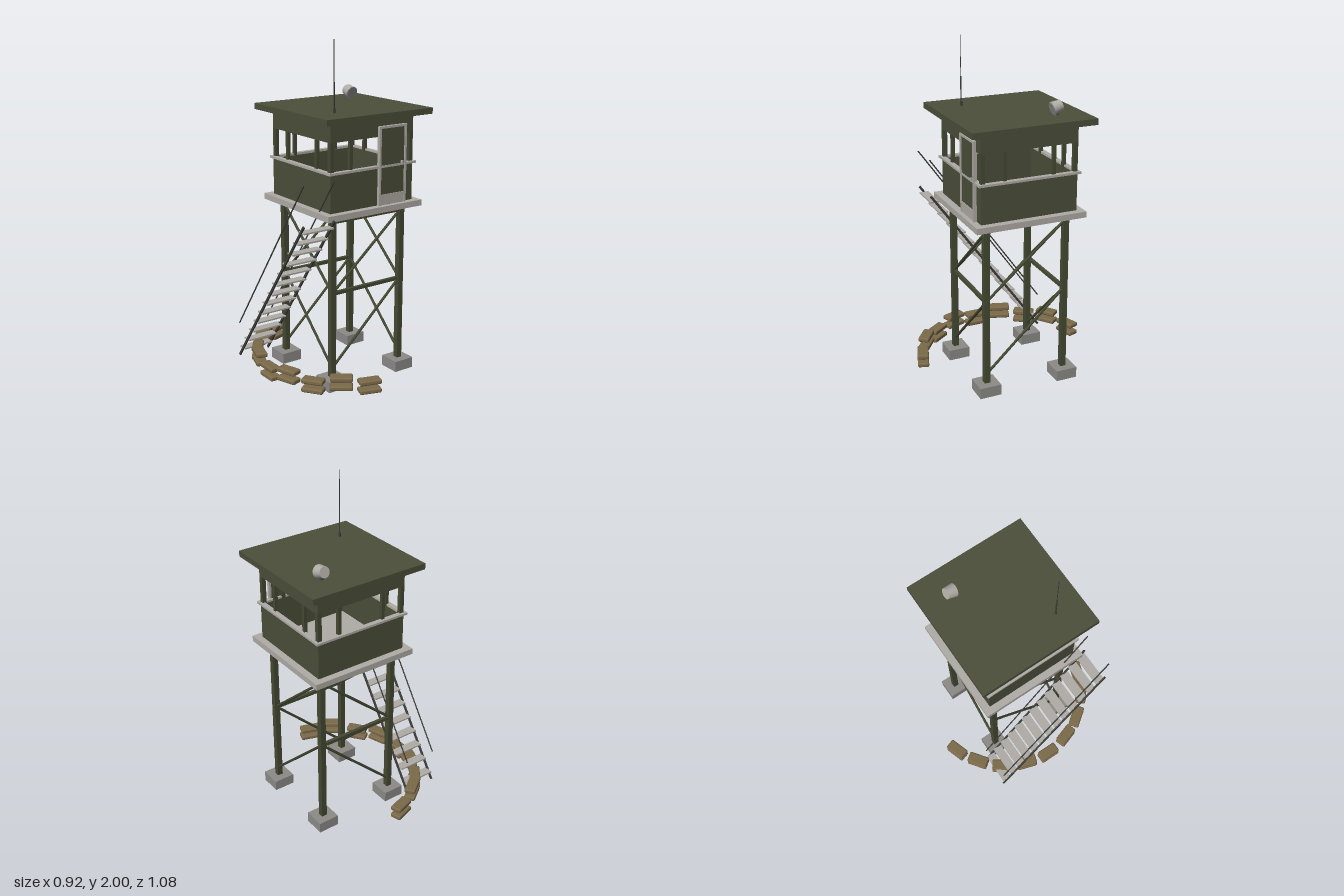
import * as THREE from 'three';
import { RoundedBoxGeometry } from 'three/addons/geometries/RoundedBoxGeometry.js';

const mat = (name, color) => {
  const m = new THREE.MeshStandardMaterial({ color });
  m.name = name;
  return m;
};

export function createModel() {
  const olive = mat('olive paint', 0x4b4f3a);
  const oliveDark = mat('olive steel', 0x454a33);
  const lightMetal = mat('light metal', 0xb0aca6);
  const darkMetal = mat('dark metal', 0x3e3f3a);
  const concrete = mat('concrete', 0x8c8b88);
  const burlap = mat('burlap', 0x7c6a4a);
  const lensGrey = mat('lens grey', 0x8f9190);

  const model = new THREE.Group();
  model.name = 'watchtower';
  const tower = new THREE.Group();
  tower.name = 'tower';
  tower.position.set(0.092, 0, -0.003);
  model.add(tower);

  const add = (name, geo, m, x = 0, y = 0, z = 0, parent = tower) => {
    const mesh = new THREE.Mesh(geo, m);
    mesh.name = name;
    mesh.position.set(x, y, z);
    parent.add(mesh);
    return mesh;
  };
  const box = (name, m, w, h, d, x, y, z, parent) =>
    add(name, new THREE.BoxGeometry(w, h, d), m, x, y, z, parent);
  // Round bar between two points
  const rod = (name, m, a, b, r) => {
    const p = new THREE.Vector3(...a), q = new THREE.Vector3(...b);
    const dir = q.clone().sub(p);
    const mesh = add(name, new THREE.CylinderGeometry(r, r, dir.length(), 8), m);
    mesh.position.copy(p).add(q).multiplyScalar(0.5);
    mesh.quaternion.setFromUnitVectors(new THREE.Vector3(0, 1, 0), dir.normalize());
    return mesh;
  };

  // Legs and footings
  const L = 0.245;
  for (const sx of [-1, 1]) for (const sz of [-1, 1]) {
    box('footing', concrete, 0.13, 0.065, 0.13, sx * L, 0.0325, sz * L);
    box('leg', oliveDark, 0.034, 0.965, 0.034, sx * L, 0.5475, sz * L);
  }

  // Cross beams on front and back, one diagonal per bay on every side
  for (const s of [-1, 1]) {
    for (const y of [0.574, 0.997]) box('crossBeam', oliveDark, 0.53, 0.02, 0.02, 0, y, s * L);
    for (const [y0, y1] of [[0.115, 0.574], [0.574, 0.997]]) {
      rod('frontBrace', oliveDark, [-L, y0, s * L], [L, y1, s * L], 0.008);
      rod('sideBrace', oliveDark, [s * L, y0, L], [s * L, y1, -L], 0.008);
    }
  }

  // Platform and roof
  box('platform', lightMetal, 0.664, 0.035, 0.664, 0, 1.0425, 0);
  box('roof', olive, 0.735, 0.035, 0.735, 0, 1.5825, 0);

  // Cabin: the same side repeated four times
  const W = 0.29, T = 0.015;
  for (let i = 0; i < 4; i++) {
    const side = new THREE.Group();
    side.name = 'cabinSide';
    side.rotation.y = i * Math.PI / 2;
    tower.add(side);
    box('lowerWall', olive, 2 * W - T, 0.22, T, -T / 2, 1.17, W - T / 2, side);
    box('upperWall', olive, 2 * W - T, 0.11, T, -T / 2, 1.51, W - T / 2, side);
    box('sillRail', lightMetal, 0.612, 0.013, 0.03, 0, 1.284, W, side);
    box('cornerPost', oliveDark, 0.025, 0.18, 0.025, W - 0.0125, 1.37, W - 0.0125, side);
    for (const s of [-1, 1])
      box('windowPost', oliveDark, 0.02, 0.18, 0.02, s * 0.147, 1.37, W - 0.012, side);
  }

  // Door with frame, kick plate and handle
  const dx = 0.133, dw = 0.195, dz = 0.298;
  box('doorPanel', olive, dw - 0.01, 0.45, 0.014, dx, 1.285, dz - 0.003);
  for (const s of [-1, 1])
    box('doorFrameSide', lightMetal, 0.013, 0.455, 0.022, dx + s * (dw / 2 - 0.0065), 1.2875, dz);
  box('doorFrameTop', lightMetal, dw, 0.013, 0.022, dx, 1.5085, dz);
  box('kickPlate', lightMetal, dw - 0.026, 0.06, 0.006, dx, 1.092, dz + 0.006);
  box('doorHandle', lightMetal, 0.014, 0.016, 0.016, dx + 0.066, 1.297, dz + 0.008);

  // Stair: treads, stringers and hand rails
  const treads = 13, sx0 = -0.412;
  for (let i = 0; i < treads; i++)
    box('tread', lightMetal, 0.196, 0.009, 0.056, sx0, 0.108 + i * 0.0743, -0.328 + i * 0.055);
  const run = 0.715, rise = 0.985;
  for (const s of [-1, 1]) {
    const x = sx0 + s * 0.1;
    const stringer = box('stringer', darkMetal, 0.009, Math.hypot(run, rise), 0.014, x, 0.547, 0.001);
    stringer.rotation.x = Math.atan2(run, rise);
    rod('handRail', darkMetal, [x, 0.265, -0.353], [x, 1.265, 0.361], 0.004);
  }

  // Sandbag arc: pairs of bags, every second pair raised
  const bag = new RoundedBoxGeometry(0.13, 0.028, 0.068, 2, 0.009);
  for (let i = -4; i <= 4; i++) {
    const a = i * Math.PI / 10, lift = i % 2 ? 0.029 : 0;
    for (const y of [0.053, 0.106]) {
      const b = add('sandbag', bag, burlap, -0.515 * Math.cos(a), y + lift, 0.515 * Math.sin(a));
      b.rotation.y = Math.PI / 2 + a;
    }
  }

  // Antenna
  const ax = -0.202, az = 0.201;
  rod('antennaBase', darkMetal, [ax, 1.6, az], [ax, 1.625, az], 0.007);
  rod('antennaLower', darkMetal, [ax, 1.62, az], [ax, 1.77, az], 0.004);
  rod('antennaWhip', darkMetal, [ax, 1.77, az], [ax, 2.0, az], 0.002);

  // Searchlight tilted down toward the front
  const lamp = new THREE.Group();
  lamp.name = 'searchlight';
  lamp.position.set(0.199, 1.643, -0.2);
  lamp.rotation.x = Math.PI / 2 + 0.29;
  tower.add(lamp);
  add('lampBody', new THREE.CylinderGeometry(0.039, 0.032, 0.056, 16), lightMetal, 0, 0, 0, lamp);
  add('lampLens', new THREE.CylinderGeometry(0.035, 0.035, 0.004, 16), lensGrey, 0, 0.0285, 0, lamp);
  rod('lampMount', darkMetal, [0.199, 1.598, -0.2], [0.199, 1.63, -0.2], 0.012);

  return model;
}
